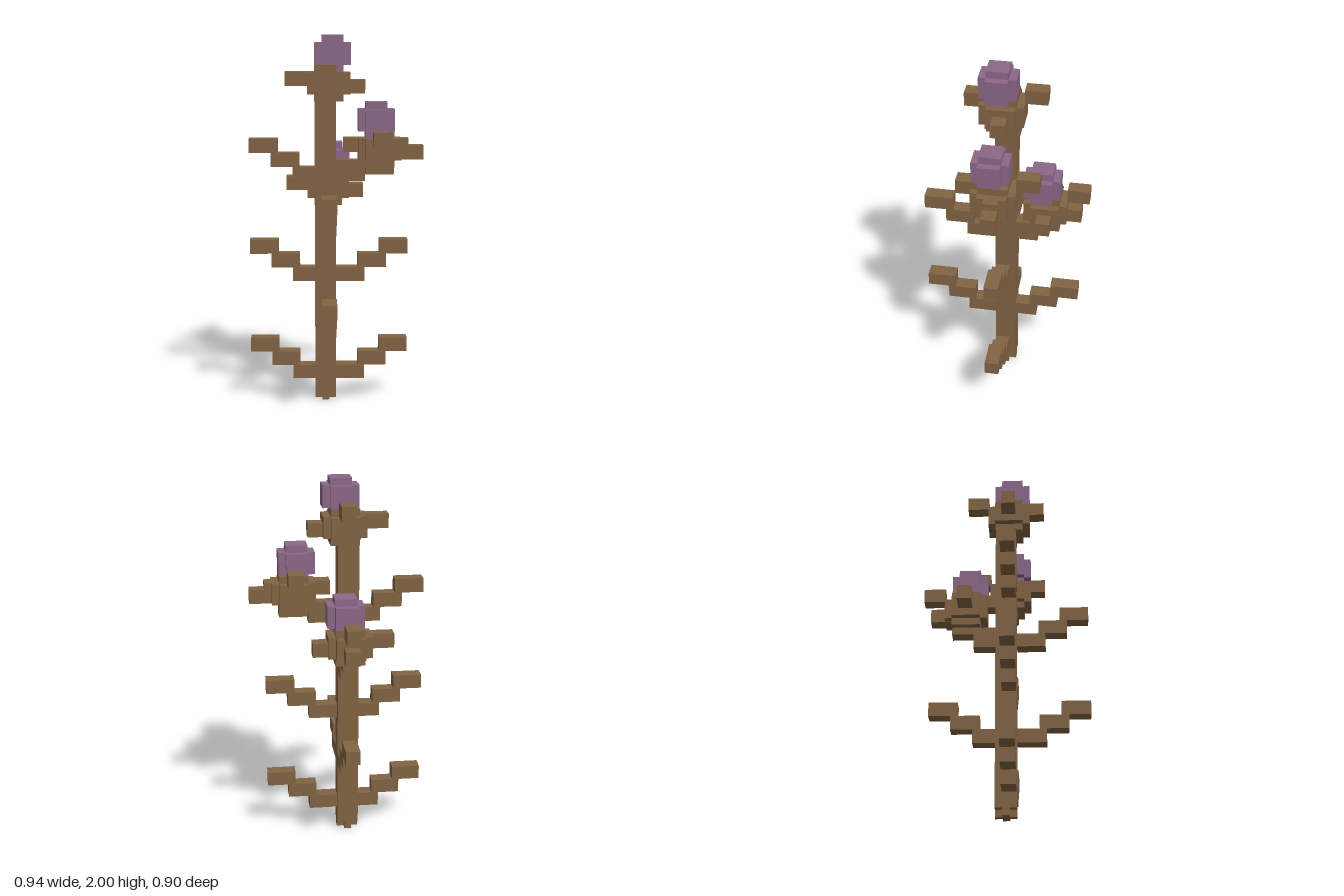
import * as THREE from 'three';

const brown = new THREE.MeshStandardMaterial({ color: 0x826444 });
brown.name = 'brown stalk';
const purple = new THREE.MeshStandardMaterial({ color: 0x8c6888 });
purple.name = 'purple blossom';

// Box given by its min and max along each axis
function block(parent, name, mat, x0, x1, y0, y1, z0, z1) {
  const mesh = new THREE.Mesh(new THREE.BoxGeometry(x1 - x0, y1 - y0, z1 - z0), mat);
  mesh.position.set((x0 + x1) / 2, (y0 + y1) / 2, (z0 + z1) / 2);
  mesh.name = name;
  parent.add(mesh);
}

// Three-step branches, mirrored on both sides of the stem
function branchPair(parent, alongX, y) {
  const g = new THREE.Group();
  g.name = alongX ? 'sideBranches' : 'frontBackBranches';
  const c = alongX ? -0.041 : 0.019; // centre along the branch axis
  for (const s of [-1, 1]) {
    for (let i = 0; i < 3; i++) {
      const a = c + s * (0.04 + 0.117 * i), b = c + s * (0.195 + 0.117 * i);
      const lo = Math.min(a, b), hi = Math.max(a, b);
      const y0 = y + 0.0765 * i, y1 = y0 + 0.0765;
      if (alongX) block(g, 'branchStep', brown, lo, hi, y0, y1, -0.021, 0.056);
      else block(g, 'branchStep', brown, -0.079, -0.001, y0, y1, lo, hi);
    }
  }
  parent.add(g);
}

// Calyx with four sepals and a blossom; local y = 0 is the calyx base
function bulb(parent, x, y, z, flowerX, leftReach, rightReach) {
  const g = new THREE.Group();
  g.name = 'flowerHead';
  g.position.set(x, y, z);
  block(g, 'calyxCore', brown, -0.077, 0.077, 0, 0.192, -0.077, 0.077);
  block(g, 'calyxWide', brown, -0.116, 0.116, 0.039, 0.154, -0.077, 0.077);
  block(g, 'calyxDeep', brown, -0.077, 0.077, 0.039, 0.154, -0.116, 0.116);
  // Sepals at staggered heights
  block(g, 'sepalRight', brown, -leftReach, -leftReach + 0.155, 0.08, 0.157, -0.039, 0.038);
  block(g, 'sepalLeft', brown, rightReach - 0.155, rightReach, 0.04, 0.116, -0.039, 0.038);
  block(g, 'sepalFront', brown, -0.038, 0.039, 0.119, 0.195, 0.042, 0.197);
  block(g, 'sepalBack', brown, -0.038, 0.039, 0.16, 0.236, -0.233, -0.115);
  // Blossom, slightly off the calyx centre
  const f = new THREE.Group();
  f.name = 'blossom';
  f.position.set(flowerX, 0, 0.0195);
  block(f, 'blossomCore', purple, -0.058, 0.058, 0.155, 0.35, -0.058, 0.058);
  block(f, 'petalsWide', purple, -0.097, 0.097, 0.193, 0.312, -0.058, 0.058);
  block(f, 'petalsDeep', purple, -0.058, 0.058, 0.193, 0.312, -0.097, 0.097);
  g.add(f);
  parent.add(g);
}

export function createModel() {
  const model = new THREE.Group();
  model.name = 'floweringStalk';

  // Stem with a notched, cross-shaped foot
  block(model, 'stem', brown, -0.116, -0.001, 0.038, 1.7, -0.056, 0.057);
  block(model, 'footWide', brown, -0.116, -0.001, 0, 0.038, -0.018, 0.019);
  block(model, 'footDeep', brown, -0.078, -0.039, 0, 0.038, -0.056, 0.057);

  // Alternating tiers of branches
  for (const y of [0.122, 0.671, 1.222]) branchPair(model, true, y);
  for (const y of [0.396, 0.945]) branchPair(model, false, y);

  // Supports under the side and back flower heads
  block(model, 'sideSupport', brown, -0.01, 0.15, 1.29, 1.335, -0.021, 0.056);
  block(model, 'sideStub', brown, 0.156, 0.311, 1.258, 1.3, -0.021, 0.056);
  block(model, 'backSupport', brown, -0.079, -0.001, 1.02, 1.06, -0.175, -0.04);

  // Flower heads: top, side and back
  bulb(model, -0.041, 1.65, 0.018, 0.0195, 0.234, 0.195);
  bulb(model, 0.233, 1.298, 0.018, -0.0195, 0.196, 0.235);
  bulb(model, -0.041, 1.063, -0.217, 0.0195, 0.234, 0.195);

  return model;
}
